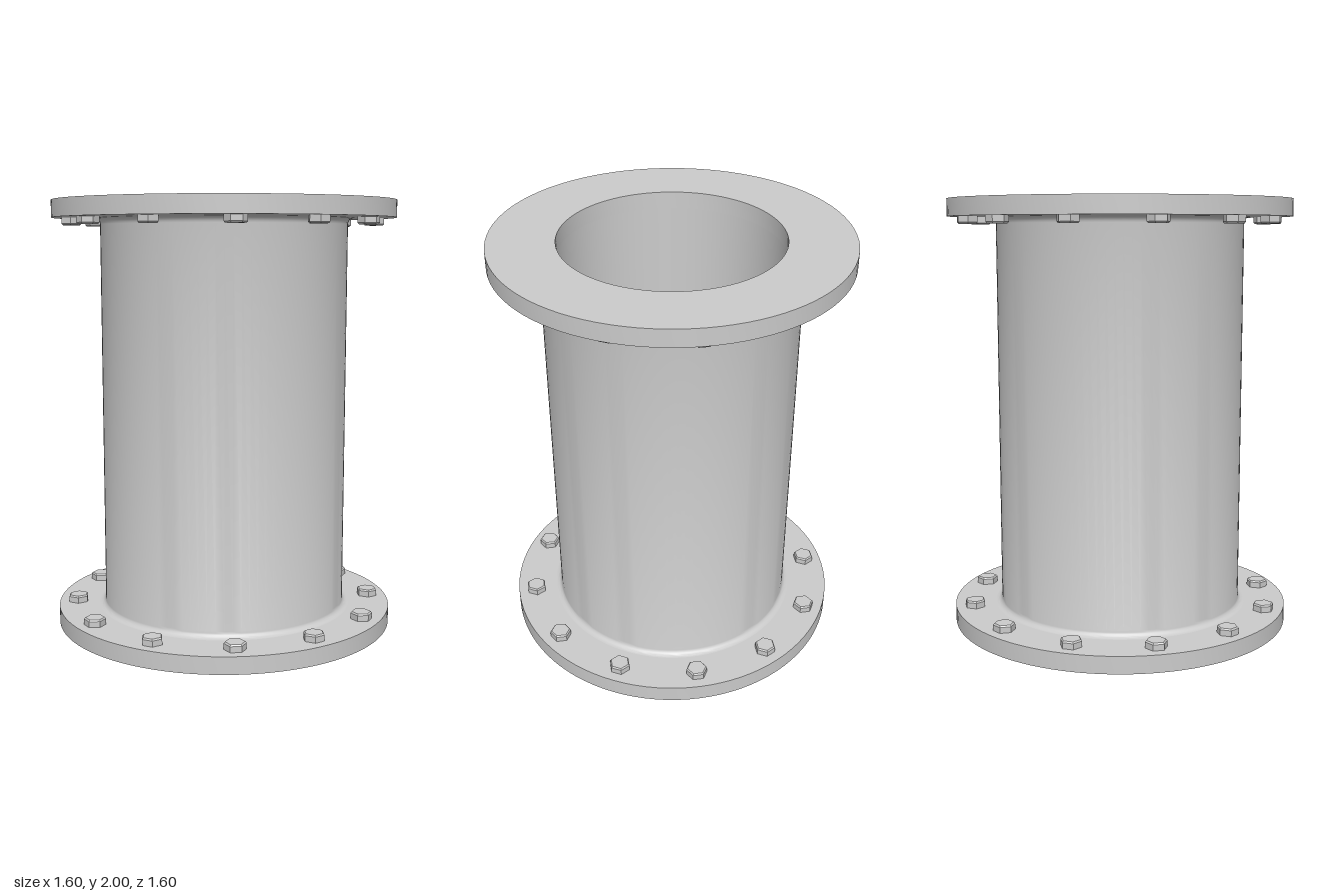
import * as THREE from 'three';
import { toCreasedNormals } from 'three/addons/utils/BufferGeometryUtils.js';

const HEIGHT = 2, BORE = 0.5, PIPE = 0.577, RIM = 0.8;
const THICK = 0.08, FILLET = 0.03;
const BOLTS = 12, BOLT_CIRCLE = 0.71, BOLT_R = 0.05, BOLT_H = 0.034;

const material = new THREE.MeshStandardMaterial({ color: 0xcccccc });

function revolve(points, segments, crease) {
  const profile = points.map(([r, y]) => new THREE.Vector2(r, y));
  return toCreasedNormals(new THREE.LatheGeometry(profile, segments), crease);
}

function addMesh(parent, name, geometry) {
  const mesh = new THREE.Mesh(geometry, material);
  mesh.name = name;
  parent.add(mesh);
  return mesh;
}

// Quarter-round between flange and pipe wall, from the flange up to the wall
function filletPoints() {
  const points = [];
  for (let i = 0; i <= 6; i++) {
    const a = (i / 6) * Math.PI / 2;
    points.push([PIPE + FILLET * (1 - Math.sin(a)), THICK + FILLET * (1 - Math.cos(a))]);
  }
  return points;
}

export function createModel() {
  const model = new THREE.Group();
  model.name = 'flangedPipe';

  // Hollow pipe with a fillet at both ends
  const lower = filletPoints();
  const upper = lower.map(([r, y]) => [r, HEIGHT - y]).reverse();
  addMesh(model, 'pipe', revolve(
    [...lower, ...upper, [BORE, HEIGHT - THICK], [BORE, THICK]], 96, 0.5));

  // Flange ring and chamfered hexagonal bolt head, shared by both ends
  const ring = revolve(
    [[BORE, 0], [RIM, 0], [RIM, THICK], [BORE, THICK], [BORE, 0]], 96, 0.5);
  const head = revolve(
    [[BOLT_R, 0], [BOLT_R, BOLT_H - 0.007], [BOLT_R - 0.006, BOLT_H], [0, BOLT_H]], 6, 0.1);

  for (const end of ['bottom', 'top']) {
    const flange = new THREE.Group();
    flange.name = end + 'Flange';
    addMesh(flange, 'flangeRing', ring);

    // Bolt heads around the pipe, a flat side facing outwards
    for (let i = 0; i < BOLTS; i++) {
      const a = (i / BOLTS) * Math.PI * 2;
      const bolt = addMesh(flange, 'boltHead', head);
      bolt.position.set(BOLT_CIRCLE * Math.sin(a), THICK, BOLT_CIRCLE * Math.cos(a));
      bolt.rotation.y = a + Math.PI / 6;
    }

    // The top flange is the bottom one turned over
    if (end === 'top') {
      flange.rotation.x = Math.PI;
      flange.position.y = HEIGHT;
    }
    model.add(flange);
  }
  return model;
}
